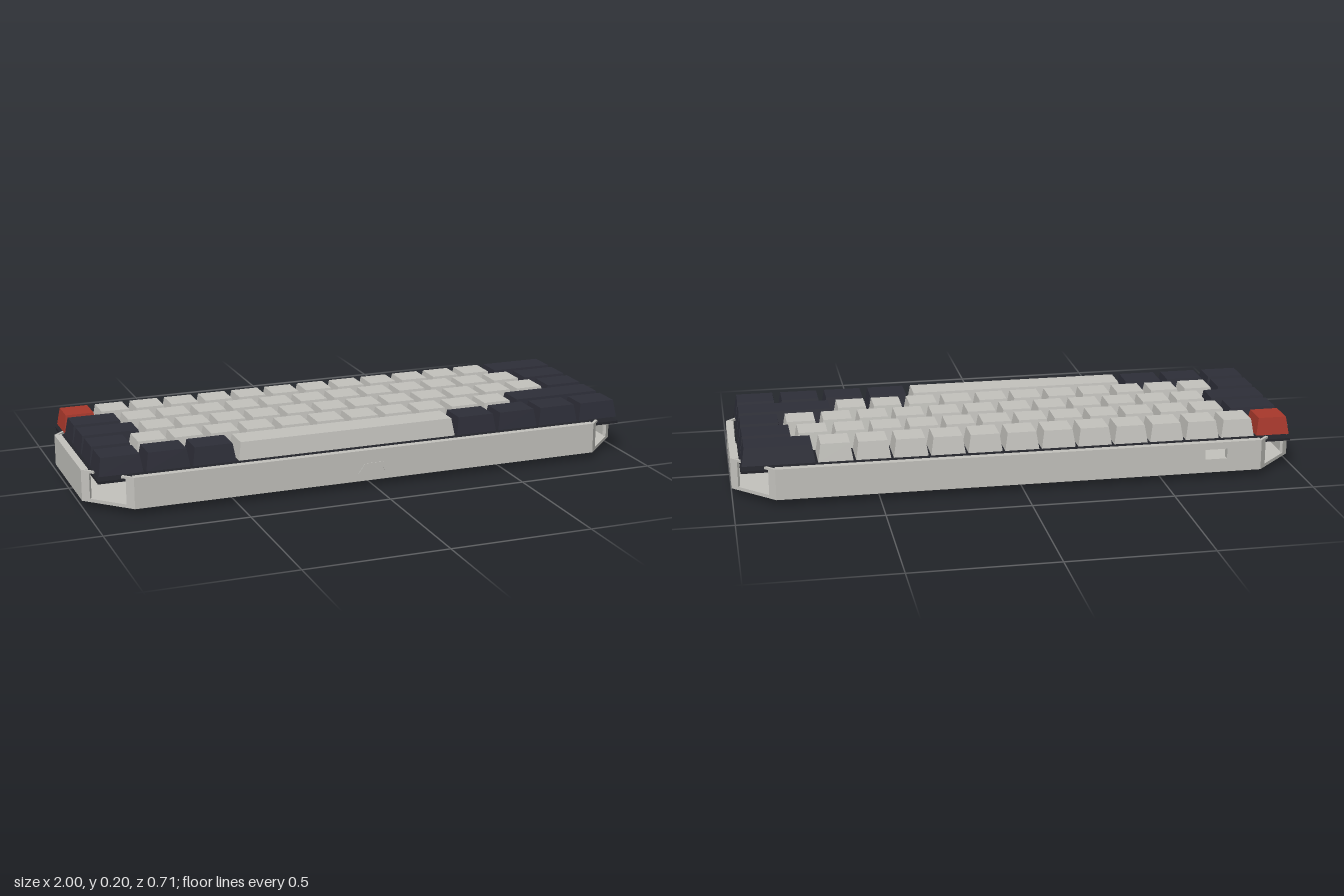
import * as THREE from 'three';

const mat = (name, color) => {
  const m = new THREE.MeshStandardMaterial({ color });
  m.name = name;
  return m;
};

// closed shape from [x, y] pairs
const poly = (pts) => new THREE.Shape(pts.map(([x, y]) => new THREE.Vector2(x, y)));
const rect = (x0, y0, x1, y1) => poly([[x0, y0], [x1, y0], [x1, y1], [x0, y1]]);

// octagon outline: half sizes hx, hz, with corners cut back to cx, cz
const octagon = (hx, hz, cx, cz) => [
  [-cx, hz], [cx, hz], [hx, cz], [hx, -cz],
  [cx, -hz], [-cx, -hz], [-hx, -cz], [-hx, cz],
];

const extrude = (shape, depth) =>
  new THREE.ExtrudeGeometry(shape, { depth, bevelEnabled: false });

// horizontal slab between two heights
function slab(shape, y0, y1) {
  return extrude(shape, y1 - y0).rotateX(-Math.PI / 2).translate(0, y0, 0);
}

// keycap: a box whose top face is drawn in on all sides
function keycapGeometry(w, d, h, inset) {
  const g = new THREE.BoxGeometry(w, h, d);
  const p = g.attributes.position;
  for (let i = 0; i < p.count; i++) {
    if (p.getY(i) > 0) {
      p.setX(i, p.getX(i) - Math.sign(p.getX(i)) * inset);
      p.setZ(i, p.getZ(i) - Math.sign(p.getZ(i)) * inset);
    }
  }
  g.computeVertexNormals();
  return g;
}

export function createModel() {
  const root = new THREE.Group();
  root.name = 'keyboard';
  const shell = mat('shellGrey', 0xc3c2bd);
  const light = mat('keyGrey', 0xc3c2bd);
  const dark = mat('keyCharcoal', 0x2d2e38);
  const red = mat('keyRed', 0xa8382b);
  const brass = mat('brass', 0xa8873f);
  const plateMat = mat('plateBlack', 0x24252b);

  const add = (parent, name, geo, material) => {
    const m = new THREE.Mesh(geo, material);
    m.name = name;
    parent.add(m);
    return m;
  };

  // brass base weight
  add(root, 'baseWeight', slab(poly(octagon(0.93, 0.285, 0.785, 0.137)), 0, 0.023), brass);

  // hollow case: floor plus eight walls
  const Y0 = 0.023, Y1 = 0.133, FLOOR = 0.035;
  const caseGroup = new THREE.Group();
  caseGroup.name = 'case';
  root.add(caseGroup);
  const corners = octagon(1, 0.352, 0.855, 0.207);
  add(caseGroup, 'caseFloor', slab(poly(corners), Y0, FLOOR), shell);

  corners.forEach(([ax, az], i) => {
    const [bx, bz] = corners[(i + 1) % 8];
    const len = Math.hypot(bx - ax, bz - az);
    const isCorner = i % 2 === 1;
    let shape, name = 'caseWall', thick = 0.025;
    if (isCorner) {
      // open corner window with two small lips at the top
      const w0 = len * 0.155, w1 = len - w0, l0 = len * 0.24, l1 = len - l0, yl = 0.125;
      shape = poly([[0, Y0], [len, Y0], [len, Y1], [l1, Y1], [l1, yl], [w1, yl],
        [w1, FLOOR], [w0, FLOOR], [w0, yl], [l0, yl], [l0, Y1], [0, Y1]]);
      name = 'cornerFrame';
      thick = 0.01;
    } else {
      shape = rect(0, Y0, len, Y1);
      if (i === 4) {
        // cable port in the back wall
        shape.holes.push(rect(1.505, 0.072, 1.585, 0.108));
        name = 'backWall';
      }
    }
    const m = add(caseGroup, name, extrude(shape, thick).translate(0, 0, -thick), shell);
    m.position.set(ax, 0, az);
    m.rotation.y = Math.atan2(-(bz - az), bx - ax);
  });

  // raised trapezoid trim on the front wall
  const trim = poly([[-0.06, 0.051], [-0.035, 0.086], [0.035, 0.086], [0.06, 0.051],
    [0.042, 0.051], [0.034, 0.063], [-0.034, 0.063], [-0.042, 0.051]]);
  add(caseGroup, 'frontTrim', extrude(trim, 0.003).translate(0, 0, 0.351), shell);

  // mounting plate, its corners showing through the corner windows
  add(root, 'mountingPlate', slab(rect(-0.97, -0.325, 0.97, 0.325), 0.115, 0.124), plateMat);

  // key rows from back to front: [width in units, material, count]
  const rows = [
    [[1, red, 1], [1, light, 12], [2, dark, 1]],
    [[1.5, dark, 1], [1, light, 12], [1.5, dark, 1]],
    [[1.75, dark, 1], [1, light, 12], [1.25, dark, 1]],
    [[1.25, dark, 1], [1, light, 11], [2.75, dark, 1]],
    [[1.25, dark, 3], [6.25, light, 1], [1.25, dark, 4]],
  ];
  const U = 1.94 / 15, GAP = 0.009, KEY_Y0 = 0.138, KEY_Y1 = 0.2;
  rows.forEach((row, r) => {
    const rowGroup = new THREE.Group();
    rowGroup.name = `keyRow${r + 1}`;
    root.add(rowGroup);
    let x = -0.97;
    for (const [units, material, count] of row) {
      const geo = keycapGeometry(units * U - GAP, U - GAP, KEY_Y1 - KEY_Y0, 0.01);
      for (let k = 0; k < count; k++) {
        const key = add(rowGroup, 'keycap', geo, material);
        key.position.set(x + (units * U) / 2, (KEY_Y0 + KEY_Y1) / 2, (r - 2) * U);
        x += units * U;
      }
    }
  });

  return root;
}
